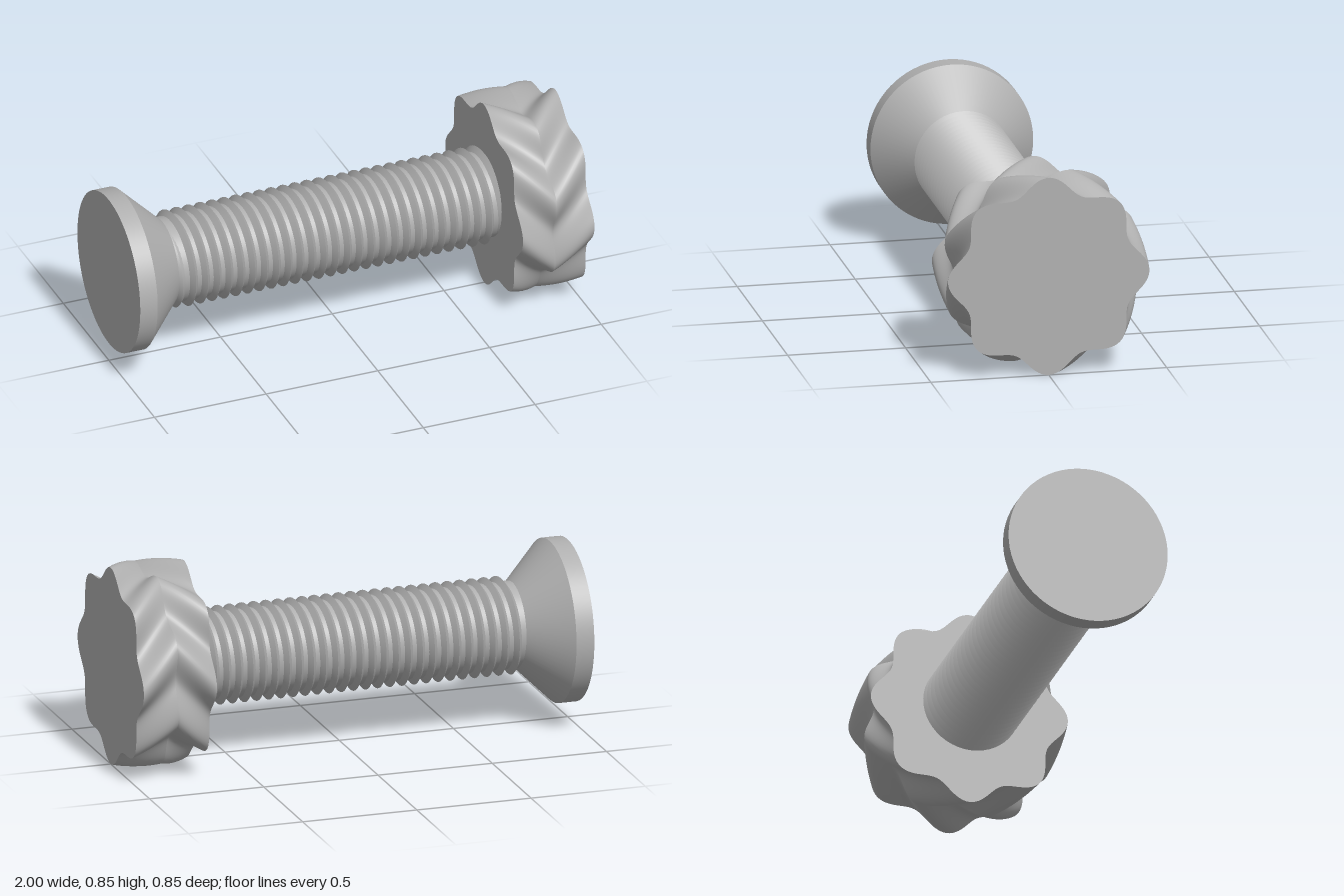
import * as THREE from 'three';
import { mergeVertices } from 'three/addons/utils/BufferGeometryUtils.js';

const AXIS_Y = 0.427;
const TAU = Math.PI * 2;

// Smooth surface from a rule (u, v) -> [x, angle, radius] around the x axis
function surface(rule, nu, nv) {
  const pos = [], index = [];
  for (let i = 0; i <= nu; i++) {
    for (let j = 0; j <= nv; j++) {
      const [x, a, r] = rule(i / nu, j / nv);
      pos.push(x, r * Math.cos(a), r * Math.sin(a));
    }
  }
  const w = nv + 1;
  for (let i = 0; i < nu; i++) {
    for (let j = 0; j < nv; j++) {
      const p = i * w + j, q = p + w;
      index.push(p, q, q + 1, p, q + 1, p + 1);
    }
  }
  let g = new THREE.BufferGeometry();
  g.setAttribute('position', new THREE.Float32BufferAttribute(pos, 3));
  g.setIndex(index);
  g = mergeVertices(g, 1e-5);
  g.computeVertexNormals();
  return g;
}

export function createModel() {
  const model = new THREE.Group();
  model.name = 'thumbScrew';
  const steel = new THREE.MeshStandardMaterial({ color: 0xb0b0b0 });
  steel.name = 'grey steel';

  const body = new THREE.Group();
  body.name = 'body';
  body.position.y = AXIS_Y;
  model.add(body);

  const add = (name, geometry) => {
    const mesh = new THREE.Mesh(geometry, steel);
    mesh.name = name;
    body.add(mesh);
  };
  // Round section along x, r0 at the x0 end
  const round = (name, x0, x1, r0, r1, open = false) => {
    const g = new THREE.CylinderGeometry(r1, r0, x1 - x0, 72, 1, open);
    g.rotateZ(-Math.PI / 2);
    g.translate((x0 + x1) / 2, 0, 0);
    add(name, g);
  };

  // Countersunk head and shaft core
  round('headRim', -1, -0.922, 0.345, 0.345);
  round('headCone', -0.922, -0.757, 0.345, 0.182, true);
  round('shaftCore', -0.78, 0.69, 0.183, 0.183, true);

  // Helical thread: two flanks meeting at a sharp crest, faded at both ends
  const pitch = 0.053, start = -0.76, end = 0.7;
  const turns = (end - start) / pitch;
  const crest = (u) => 0.18 + 0.027 * Math.min(1, u * turns * 2, (1 - u) * turns * 2);
  for (const side of [-1, 1]) {
    add(side < 0 ? 'threadFlankLeft' : 'threadFlankRight', surface((u, v) => {
      const k = side < 0 ? v : 1 - v;
      const x = start + u * (end - start) + side * (1 - k) * 0.02;
      return [x, u * turns * TAU, 0.18 + (crest(u) - 0.18) * k];
    }, Math.round(turns * 48), 1));
  }

  // Eight-lobed knob, twisted one way and back again to form chevrons
  const lobe = (a) => 0.396 + 0.031 * Math.cos(8 * a);
  const twist = THREE.MathUtils.degToRad(25.5);
  const x0 = 0.68, mid = 0.84, x1 = 1, N = 192;
  add('knobInnerHalf', surface((u, v) =>
    [x0 + (mid - x0) * v, u * TAU + twist * v, lobe(u * TAU)], N, 16));
  add('knobOuterHalf', surface((u, v) =>
    [mid + (x1 - mid) * v, u * TAU + twist * (1 - v), lobe(u * TAU)], N, 16));
  add('knobInnerFace', surface((u, v) => [x0, u * TAU, lobe(u * TAU) * v], N, 1));
  add('knobOuterFace', surface((u, v) => [x1, u * TAU, lobe(u * TAU) * (1 - v)], N, 1));

  return model;
}
